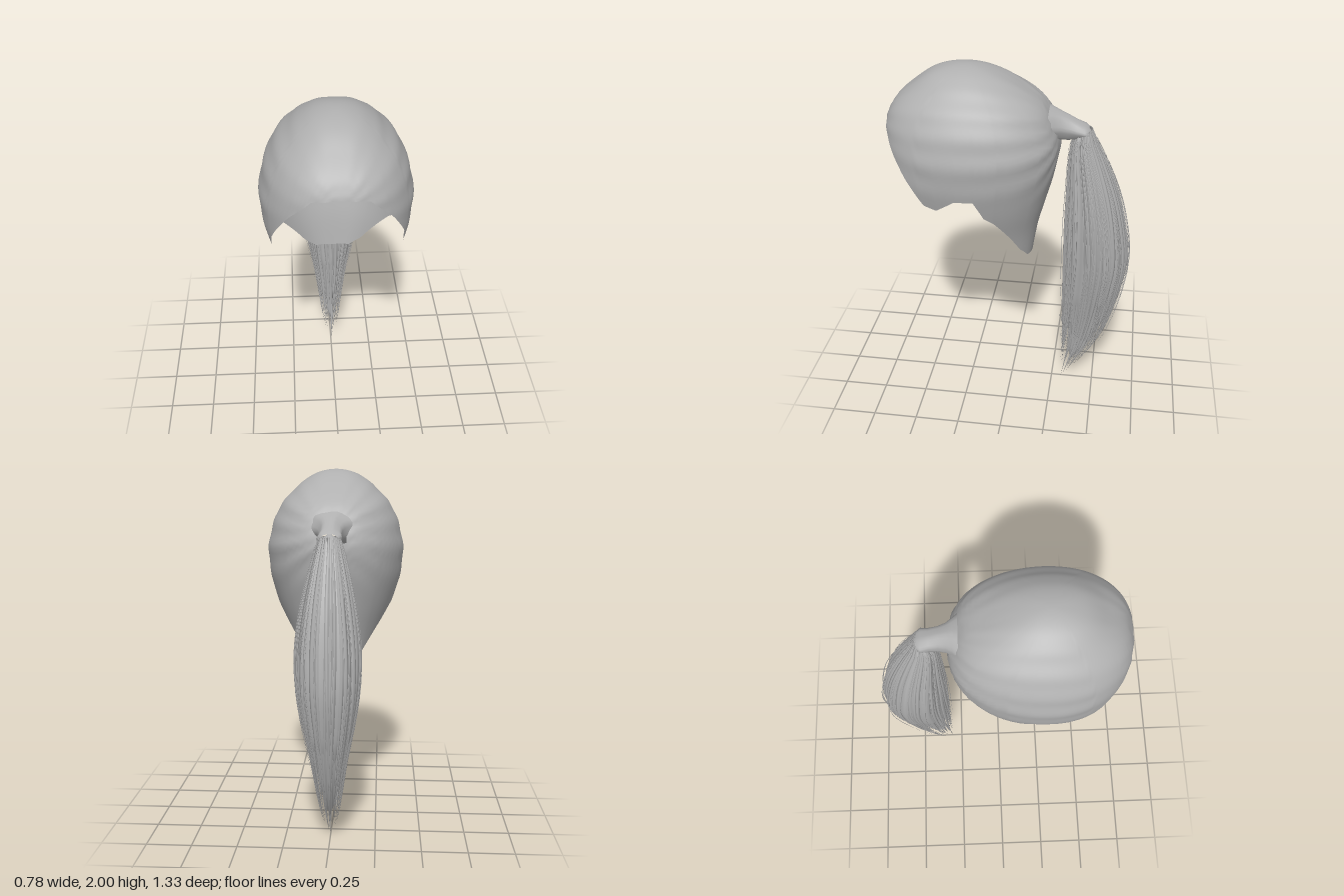
import * as THREE from 'three';
import { mergeGeometries, mergeVertices } from 'three/addons/utils/BufferGeometryUtils.js';

// Smooth lookup in a table of [key, a, b, ...] rows with rising keys
function lookup(table, k) {
  const n = table.length;
  let i = 0;
  while (i < n - 2 && k > table[i + 1][0]) i++;
  const p = table[i], q = table[i + 1], h = q[0] - p[0];
  const t = Math.min(1, Math.max(0, (k - p[0]) / h));
  const slope = (m, c) => {
    const a = table[Math.max(0, m - 1)], b = table[Math.min(n - 1, m + 1)];
    return (b[c] - a[c]) / (b[0] - a[0]);
  };
  return p.slice(1).map((v, j) => {
    const c = j + 1, t2 = t * t, t3 = t2 * t;
    return (2 * t3 - 3 * t2 + 1) * v + (t3 - 2 * t2 + t) * h * slope(i, c)
      + (3 * t2 - 2 * t3) * q[c] + (t3 - t2) * h * slope(i + 1, c);
  });
}

// Closed-ring surface: point(row, col) gives [x, y, z]; skip() leaves openings
function loft(rows, cols, point, skip = () => false) {
  const pos = [], idx = [];
  for (let r = 0; r <= rows; r++) for (let c = 0; c < cols; c++) pos.push(...point(r, c));
  for (let r = 0; r < rows; r++) for (let c = 0; c < cols; c++) {
    const a = r * cols + c, d = r * cols + (c + 1) % cols;
    if (skip(pos[a * 3], pos[a * 3 + 1], pos[a * 3 + 2])) continue;
    idx.push(a, a + cols, d, d, a + cols, d + cols);
  }
  let g = new THREE.BufferGeometry();
  g.setAttribute('position', new THREE.Float32BufferAttribute(pos, 3));
  g.setIndex(idx);
  g = mergeVertices(g, 1e-5);
  g.computeVertexNormals();
  return g;
}

function seeded(seed) {
  return () => (seed = (seed * 16807) % 2147483647) / 2147483647;
}

// Scalp shape: height, half width, reach forward, reach back (about z = 0.24)
const SCALP = [
  [2, 0, 0, 0], [1.97, 0.13, 0.16, 0.15], [1.9, 0.225, 0.27, 0.29], [1.8, 0.315, 0.38, 0.42],
  [1.7, 0.36, 0.425, 0.475], [1.6, 0.385, 0.43, 0.5], [1.5, 0.388, 0.43, 0.49],
  [1.4, 0.375, 0.43, 0.47], [1.25, 0.335, 0.43, 0.43], [1.1, 0.28, 0.42, 0.39], [0.92, 0.22, 0.4, 0.36],
].map(([y, ...r]) => [Math.sqrt(2 - y), ...r]);

// Hairline from brow to nape: angle from the front, height
const HAIRLINE = [
  [0, 1.73], [0.3, 1.715], [0.58, 1.61], [0.98, 1.42], [1.14, 1.33], [1.31, 1.31], [1.55, 1.38],
  [1.76, 1.38], [1.89, 1.27], [2.02, 1.23], [2.53, 1.0], [2.8, 0.93], [Math.PI, 0.92],
];

// Tail outline: -height, front z, back z, half width
const TAIL = [
  [-1.69, -0.36, -0.42, 0.05], [-1.6, -0.32, -0.46, 0.075], [-1.5, -0.31, -0.51, 0.1],
  [-1.3, -0.305, -0.59, 0.14], [-1.1, -0.3, -0.64, 0.163], [-0.9, -0.3, -0.663, 0.16],
  [-0.7, -0.3, -0.64, 0.135], [-0.5, -0.3, -0.595, 0.1], [-0.3, -0.3, -0.525, 0.072],
  [-0.15, -0.3, -0.43, 0.05], [0, -0.3, -0.33, 0.012],
];

function tailPoint(y, angle, scale) {
  const [f, b, w] = lookup(TAIL, -y);
  return [Math.sin(angle) * w * scale, y, (f + b) / 2 + Math.cos(angle) * (f - b) / 2 * scale];
}

// Swept-back cap of hair, open at the face
function capGeometry() {
  const half = [];
  for (let i = 0; i < HAIRLINE.length - 1; i++) {
    for (let s = 0; s < 5; s++) {
      half.push(HAIRLINE[i].map((v, k) => v + (HAIRLINE[i + 1][k] - v) * s / 5));
    }
  }
  const back = half.slice(1).reverse().map(([a, y]) => [2 * Math.PI - a, y]);
  const edge = [...half, HAIRLINE[HAIRLINE.length - 1], ...back];
  const rows = 44;
  return loft(rows, edge.length, (r, c) => {
    const [a, ey] = edge[c];
    const u = Math.sqrt(2 - ey) * r / rows;
    const [w, f, b] = lookup(SCALP, u);
    const s = Math.sin(a), co = Math.cos(a), y = 2 - u * u;
    let x = w * Math.sign(s) * Math.pow(Math.abs(s), 0.78);
    let z = co * (co > 0 ? f : b);
    // combed ridges running towards the tie
    const fan = Math.atan2(y - 1.68, Math.abs(x) + 0.02);
    const fade = Math.min(1, r / 14) * Math.max(0, Math.min(1, (y - 1.3) * 4)) * (co < 0.5 ? 1 : 0.4);
    const k = 1 + 0.009 * fade * Math.sin(fan * 17);
    return [x * k, y, 0.24 + z * k];
  }, (x, y, z) => z < -0.1 && Math.abs(x) < 0.05 && Math.abs(y - 1.67) < 0.045);
}

// Gathered neck between the cap and the tail: z, y, half width, half height
function neckGeometry() {
  const rings = [
    [-0.2, 1.69, 0.13, 0.095], [-0.23, 1.69, 0.098, 0.085], [-0.26, 1.685, 0.075, 0.076],
    [-0.3, 1.675, 0.062, 0.068], [-0.35, 1.665, 0.06, 0.052], [-0.39, 1.66, 0.066, 0.04],
    [-0.41, 1.655, 0.05, 0.03],
  ];
  return loft(rings.length - 1, 28, (r, c) => {
    const [z, y, w, h] = rings[r], a = c / 28 * Math.PI * 2;
    const k = 1 + 0.03 * Math.sin(a * 7);
    return [-Math.sin(a) * w * k, y + Math.cos(a) * h * k, z];
  });
}

// Inner body of the tail with grooved sides
function tailCoreGeometry() {
  const rows = 36, cols = 96;
  return loft(rows, cols, (r, c) => {
    const t = r / rows, y = 1.69 - t * 1.55, a = c / cols * Math.PI * 2;
    const ends = r === 0 ? 0 : Math.min(1, Math.max(0, (y - 0.14) / 0.5) ** 0.5);
    return tailPoint(y, a, ends * (0.95 + 0.025 * Math.sin(a * 16 + 2 * t) + 0.02 * Math.sin(a * 9)));
  });
}

// Tapered lock lying along the tail
function lockGeometry(angle, scale, top, end, width, sway) {
  const rows = 18, cols = 5;
  return loft(rows, cols, (r, c) => {
    const t = r / rows, y = top + (end - top) * t;
    const p = tailPoint(y, angle + sway * t * t, scale);
    const k = width * Math.min(1, 0.4 + t * 3) * (t > 0.6 ? (1 - t) / 0.4 : 1);
    const b = c / cols * Math.PI * 2, u = Math.sin(b) * k, v = Math.cos(b) * k * 0.5;
    const ca = Math.cos(angle), sa = Math.sin(angle);
    return [p[0] + ca * u + sa * v, y, p[2] - sa * u + ca * v];
  });
}

export function createModel() {
  const hair = new THREE.MeshStandardMaterial({ color: 0xb0b0b0, side: THREE.DoubleSide });
  hair.name = 'greyHair';
  const model = new THREE.Group();
  model.name = 'ponytailHair';
  const add = (name, geometry) => {
    const mesh = new THREE.Mesh(geometry, hair);
    mesh.name = name;
    model.add(mesh);
  };

  add('hairCap', capGeometry());
  add('gatheredNeck', neckGeometry());
  add('tailCore', tailCoreGeometry());

  // Main locks and loose strands
  const rnd = seeded(4711), locks = [], strays = [];
  for (let i = 0; i < 110; i++) {
    const a = (i + rnd() * 0.6) / 110 * Math.PI * 2;
    locks.push(lockGeometry(a, 0.82 + rnd() * 0.18, 1.67, 0.08 + rnd() * 0.4, 0.009 + rnd() * 0.006, (rnd() - 0.5) * 0.5));
  }
  for (let i = 0; i < 6; i++) {
    locks.push(lockGeometry(i * 1.05, 0.5, 1.5, i * 0.025, 0.026, 0.3));
  }
  for (let i = 0; i < 45; i++) {
    strays.push(lockGeometry(rnd() * Math.PI * 2, 1 + rnd() * 0.1, 1.62, 0.18 + rnd() * 0.4, 0.003, (rnd() - 0.5) * 0.4));
  }
  add('tailLocks', mergeGeometries(locks));
  add('looseStrands', mergeGeometries(strays));
  return model;
}
